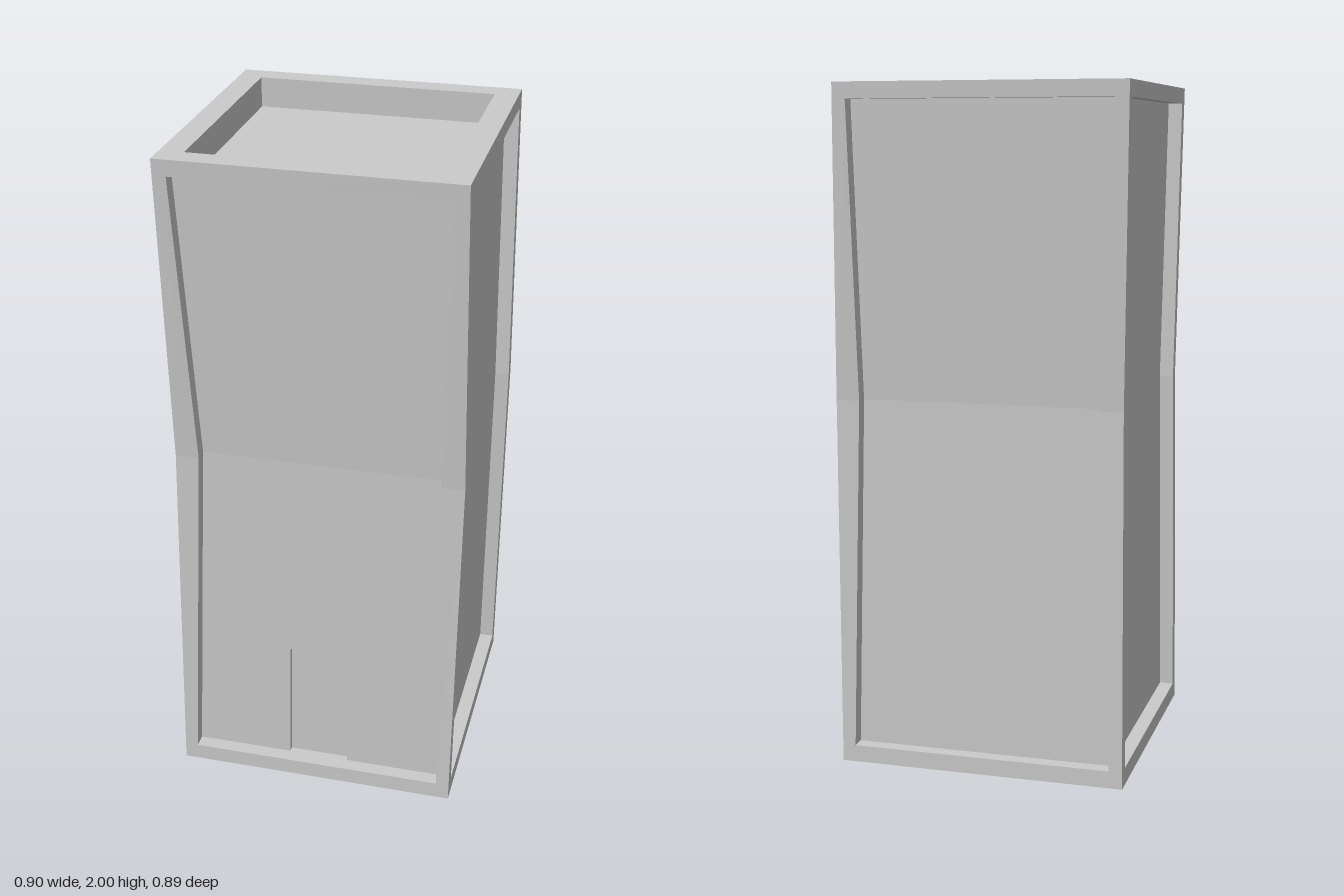
import * as THREE from 'three';

const H = 0.427;                              // half width of the square plan
const HEIGHT = 2, WAIST = 1.09;               // height, level of the pinch
const SILL = 0.05, LINTEL = 1.953;            // panel opening levels
const INSET = 0.043;                          // depth of the side panels
const DOOR = { half: 0.0925, top: 0.44, depth: 0.017 };
const TILT = Math.asin(0.0445);               // slight turn of the plan

// 0 at the top and bottom, 1 at the waist
const pinch = y => (y < WAIST ? y / WAIST : (HEIGHT - y) / (HEIGHT - WAIST));

// Local plan position to model position, pinched towards the waist
function place(x, z, y, t = pinch(y)) {
  const c = Math.cos(TILT), s = Math.sin(TILT);
  return [x * c - z * s - 0.009 + 0.0125 * t, y, (x * s + z * c - 0.002) * (1 - 0.078 * t)];
}

// Point on side k: u across, d deep behind the outer face
function onSide(k, u, d, y) {
  const a = k * Math.PI / 2, w = H - d;
  return place(u * Math.cos(a) + w * Math.sin(a), -u * Math.sin(a) + w * Math.cos(a), y);
}

function meshFromQuads(name, quads) {
  const pos = [];
  for (const [a, b, c, d] of quads) pos.push(...a, ...b, ...c, ...a, ...c, ...d);
  const geo = new THREE.BufferGeometry();
  geo.setAttribute('position', new THREE.Float32BufferAttribute(pos, 3));
  geo.computeVertexNormals();
  const mesh = new THREE.Mesh(geo, new THREE.MeshStandardMaterial({ color: 0xcccccc, flatShading: true }));
  mesh.name = name;
  return mesh;
}

// Flat strip on a side between two edges, each a function of height
function strip(k, left, right, d, levels) {
  const quads = [];
  for (let i = 0; i < levels.length - 1; i++) {
    const a = levels[i], b = levels[i + 1];
    quads.push([onSide(k, left(a), d, a), onSide(k, right(a), d, a),
      onSide(k, right(b), d, b), onSide(k, left(b), d, b)]);
  }
  return quads;
}

// The four inner faces around an opening, from depth d0 to d1
function reveals(k, half, d0, d1, levels) {
  const quads = [];
  const p = (sign, d, y) => onSide(k, sign * half(y), d, y);
  for (let i = 0; i < levels.length - 1; i++) {
    const a = levels[i], b = levels[i + 1];
    quads.push([p(-1, d0, a), p(-1, d1, a), p(-1, d1, b), p(-1, d0, b)]);
    quads.push([p(1, d1, a), p(1, d0, a), p(1, d0, b), p(1, d1, b)]);
  }
  const lo = levels[0], hi = levels[levels.length - 1];
  quads.push([p(-1, d0, lo), p(1, d0, lo), p(1, d1, lo), p(-1, d1, lo)]);
  quads.push([p(-1, d1, hi), p(1, d1, hi), p(1, d0, hi), p(-1, d0, hi)]);
  return quads;
}

export function createModel() {
  const group = new THREE.Group();
  group.name = 'tower';
  const edge = v => () => v;
  const levels = [SILL, WAIST, LINTEL];

  // Sides: frame of rails and posts around an inset panel
  ['front', 'left', 'back', 'right'].forEach((side, k) => {
    const widen = k % 2 === 0 ? 0.032 : 0;    // front and back posts swell at the waist
    const half = y => H - 0.038 - widen * pinch(y);
    const minus = y => -half(y);
    group.add(meshFromQuads(side + 'Frame', [
      ...strip(k, edge(-H), edge(H), 0, [0, SILL]),
      ...strip(k, edge(-H), edge(H), 0, [LINTEL, HEIGHT]),
      ...strip(k, edge(-H), minus, 0, levels),
      ...strip(k, half, edge(H), 0, levels),
      ...reveals(k, half, 0, INSET, levels),
    ]));

    if (side !== 'front') {
      group.add(meshFromQuads(side + 'Panel', strip(k, minus, half, INSET, levels)));
      return;
    }
    // Front panel leaves a gap for the recessed door
    const doorLevels = [SILL, DOOR.top], doorHalf = edge(DOOR.half), doorMinus = edge(-DOOR.half);
    group.add(meshFromQuads('frontPanel', [
      ...strip(k, minus, doorMinus, INSET, doorLevels),
      ...strip(k, doorHalf, half, INSET, doorLevels),
      ...strip(k, minus, half, INSET, [DOOR.top, WAIST, LINTEL]),
    ]));
    group.add(meshFromQuads('door', [
      ...reveals(k, doorHalf, INSET, INSET + DOOR.depth, doorLevels),
      ...strip(k, doorMinus, doorHalf, INSET + DOOR.depth, doorLevels),
    ]));
  });

  // Roof: parapet rim around a sunken deck; base closes the bottom
  const ring = (r, y) => [[-r, r], [r, r], [r, -r], [-r, -r]].map(([x, z]) => place(x, z, y, 0));
  const outer = ring(H, HEIGHT), inner = ring(0.357, HEIGHT), deck = ring(0.357, HEIGHT - 0.09);
  const parapet = [];
  for (let i = 0; i < 4; i++) {
    const j = (i + 1) % 4;
    parapet.push([outer[i], outer[j], inner[j], inner[i]]);
    parapet.push([inner[i], inner[j], deck[j], deck[i]]);
  }
  group.add(meshFromQuads('parapet', parapet));
  group.add(meshFromQuads('roofDeck', [deck]));
  group.add(meshFromQuads('base', [ring(H, 0).reverse()]));
  return group;
}
